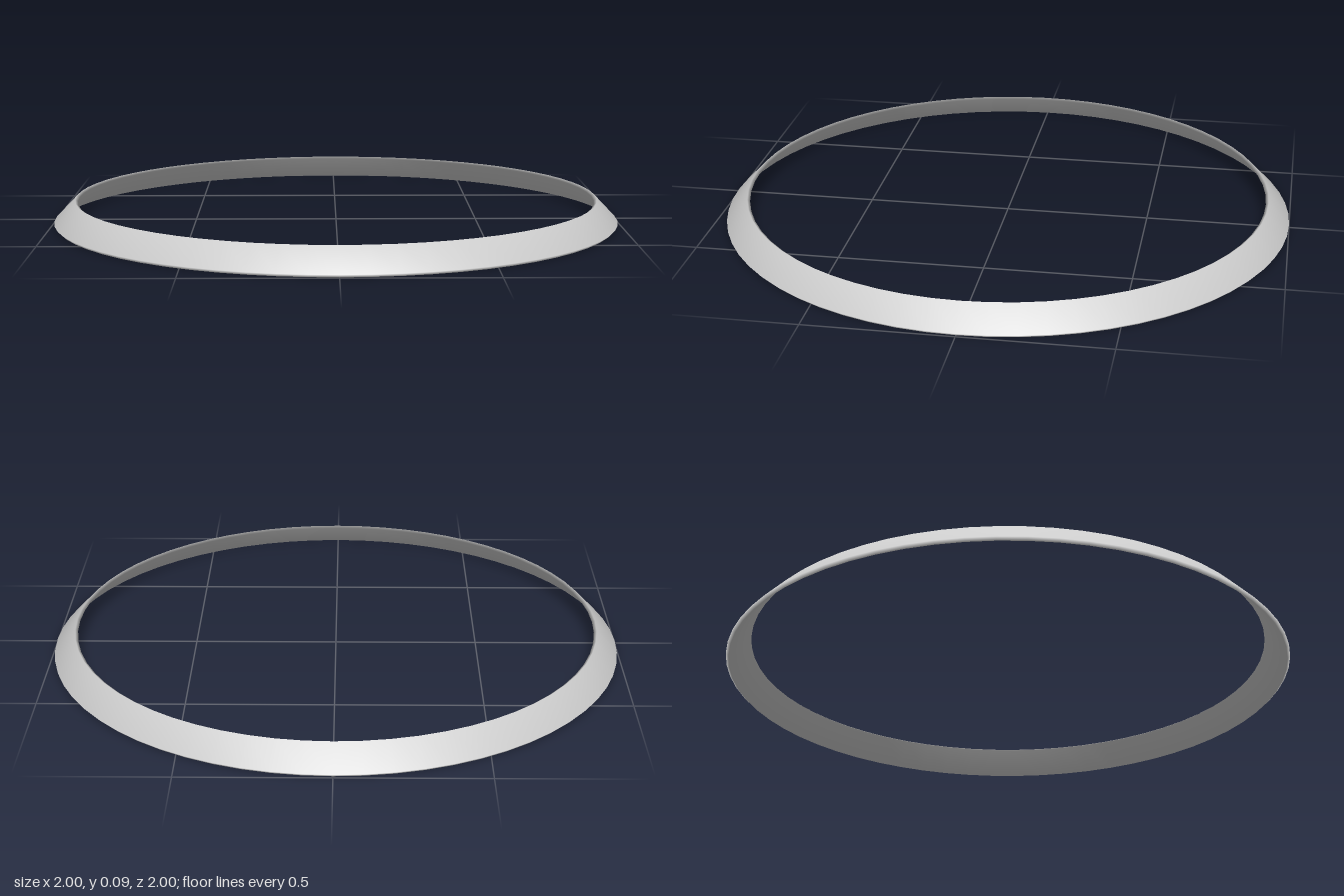
import * as THREE from 'three';
import { mergeVertices } from 'three/addons/utils/BufferGeometryUtils.js';

export function createModel() {
  const group = new THREE.Group();
  group.name = 'bevelRing';

  // Thin slanted band, closed cross-section: outer side upwards, inner side back down
  const profile = [
    [0.99, 0], [1, 0.01], [0.925, 0.088], [0.915, 0.081], [0.99, 0],
  ].map(([r, y]) => new THREE.Vector2(r, y));

  // Weld the seams so the shading runs smoothly around the whole section
  let geometry = new THREE.LatheGeometry(profile, 64);
  geometry.deleteAttribute('uv');
  geometry.deleteAttribute('normal');
  geometry = mergeVertices(geometry, 1e-4);
  geometry.computeVertexNormals();

  const ring = new THREE.Mesh(geometry, new THREE.MeshStandardMaterial({ color: 0xcccccc }));
  ring.name = 'ring';
  group.add(ring);
  return group;
}
